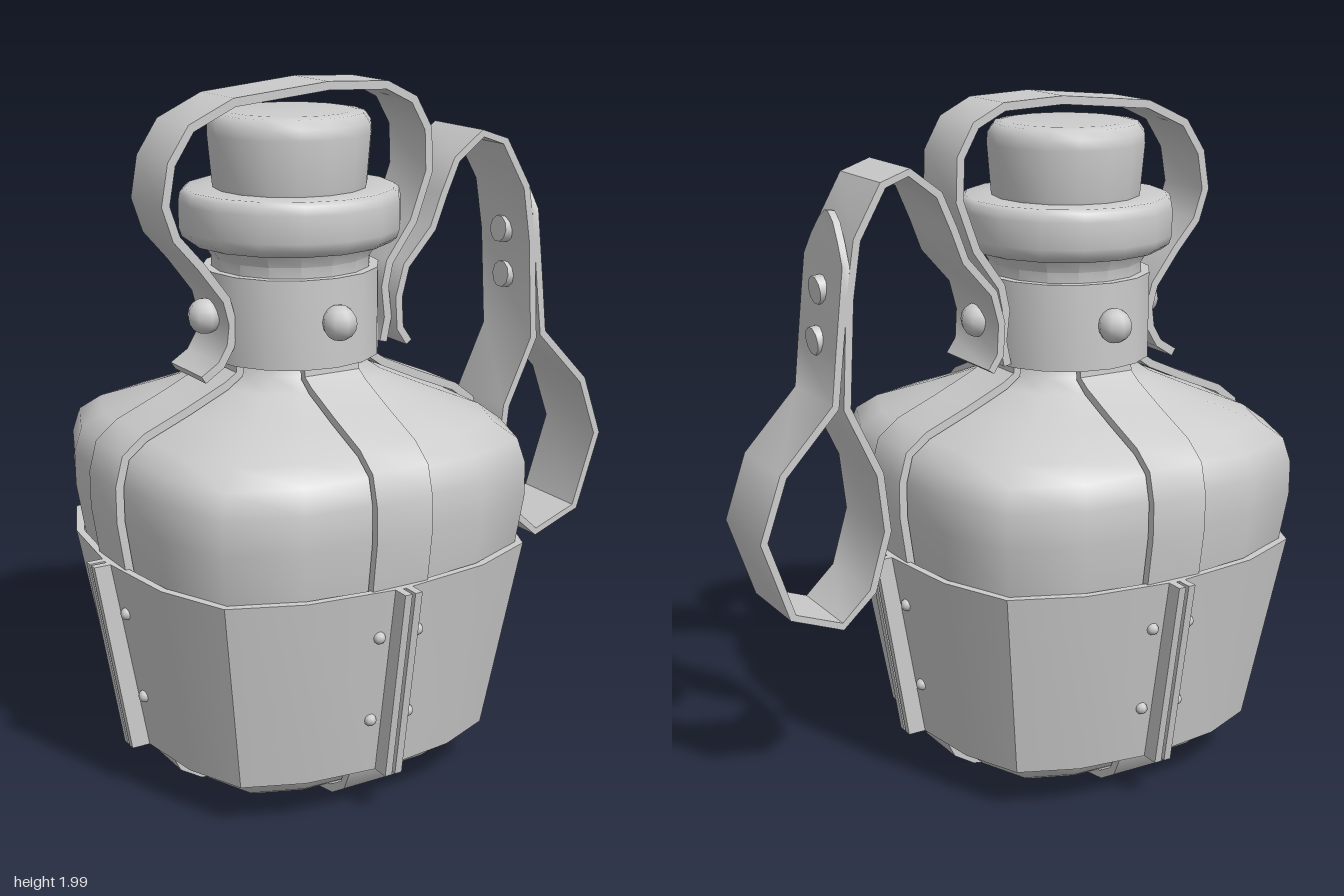
import * as THREE from 'three';
import { toCreasedNormals } from 'three/addons/utils/BufferGeometryUtils.js';

const material = new THREE.MeshStandardMaterial({ color: 0xcccccc });

function add(parent, name, geometry) {
  const mesh = new THREE.Mesh(geometry, material);
  mesh.name = name;
  parent.add(mesh);
  return mesh;
}

// Skin a list of rings, each a loop of [x, y, z] with the same count
function loft(rings, caps = true, crease = 0.6) {
  const n = rings[0].length, last = (rings.length - 1) * n, index = [];
  for (let i = 0; i < rings.length - 1; i++) {
    for (let j = 0; j < n; j++) {
      const a = i * n + j, b = i * n + (j + 1) % n;
      index.push(a, a + n, b + n, a, b + n, b);
    }
  }
  if (caps) {
    for (let j = 1; j < n - 1; j++) {
      index.push(0, j, j + 1, last, last + j + 1, last + j);
    }
  }
  const geometry = new THREE.BufferGeometry();
  geometry.setAttribute('position', new THREE.Float32BufferAttribute(rings.flat(2), 3));
  geometry.setIndex(index);
  geometry.computeVertexNormals();
  return toCreasedNormals(geometry, crease);
}

// Flat band along an xy path; each point is [x, y, optional half width in z]
function band(path, halfWidth, thickness) {
  const rings = path.map((p, i) => {
    const a = path[Math.max(i - 1, 0)], b = path[Math.min(i + 1, path.length - 1)];
    const d = new THREE.Vector2(b[0] - a[0], b[1] - a[1]).normalize();
    const nx = d.y * thickness / 2, ny = -d.x * thickness / 2, w = p[2] ?? halfWidth;
    return [[1, -1], [1, 1], [-1, 1], [-1, -1]].map(([s, t]) => [p[0] + s * nx, p[1] + s * ny, t * w]);
  });
  return loft(rings, true, 0.7);
}

// Sixteen-sided rounded square that blends to a circle as square goes to 0
function section(y, half, square, quarter) {
  const ring = [];
  for (let k = 0; k < 4; k++) {
    const c = Math.round(Math.cos(k * Math.PI / 2)), s = Math.round(Math.sin(k * Math.PI / 2));
    quarter.forEach(([u, v], j) => {
      const t = j * Math.PI / 8;
      const x = half * (u * square + Math.cos(t) * (1 - square));
      const z = half * (v * square + Math.sin(t) * (1 - square));
      ring.push([x * c - z * s, y, x * s + z * c]);
    });
  }
  return ring;
}

const lathe = (points, crease = 0.6) =>
  toCreasedNormals(new THREE.LatheGeometry(points.map(p => new THREE.Vector2(...p)), 16), crease);

export function createModel() {
  const model = new THREE.Group();
  const flask = new THREE.Group();
  flask.name = 'flask';
  flask.position.x = -0.2;
  model.add(flask);

  // Rounded square body: [y, half width, squareness]
  const bodyQuarter = [[1, 0], [0.975, 0.487], [0.835, 0.835], [0.487, 0.975]];
  const bodyProfile = [
    [0.03, 0.26, 1], [0.045, 0.35, 1], [0.08, 0.405, 1], [0.14, 0.44, 1], [0.4, 0.505, 1],
    [0.71, 0.555, 1], [0.85, 0.575, 1], [0.95, 0.575, 1], [1.02, 0.555, 1], [1.065, 0.5, 0.95],
    [1.12, 0.37, 0.7], [1.175, 0.25, 0.25], [1.21, 0.205, 0], [1.28, 0.2, 0],
  ];
  add(flask, 'body', loft(bodyProfile.map(p => section(p[0], p[1], p[2], bodyQuarter)), true, 1.2));

  // Neck, collar, rim and stopper
  add(flask, 'collar', lathe([[0.19, 1.24], [0.25, 1.24], [0.25, 1.49], [0.22, 1.49]]));
  add(flask, 'neck', lathe([[0.225, 1.47], [0.225, 1.52], [0.25, 1.56]]));
  add(flask, 'rim', lathe([[0.2, 1.56], [0.285, 1.56], [0.305, 1.575], [0.313, 1.6],
    [0.313, 1.675], [0.308, 1.7], [0.295, 1.71], [0.2, 1.71]], 0.9));
  add(flask, 'stopper', lathe([[0.213, 1.7], [0.218, 1.72], [0.23, 1.86], [0.228, 1.89],
    [0.21, 1.915], [0.18, 1.92], [0, 1.92]], 0.9));

  // Open-ended holder around the lower body
  const holderQuarter = [[1, 0], [0.942, 0.467], [0.8, 0.8], [0.467, 0.942]];
  const holderRing = (y, half) => section(y, half, 1, holderQuarter);
  add(flask, 'holder', loft([
    holderRing(0.14, 0.5), holderRing(0.71, 0.6), holderRing(0.71, 0.578),
    holderRing(0.14, 0.478), holderRing(0.14, 0.5),
  ], false));

  // Straps, seam flanges and rivets repeat on the four sides
  const strapPath = [
    [0, 0.017], [0.26, 0.02], [0.36, 0.036], [0.42, 0.073], [0.453, 0.14], [0.517, 0.4],
    [0.567, 0.71], [0.587, 0.85], [0.587, 0.95], [0.566, 1.03], [0.506, 1.077],
    [0.375, 1.132], [0.255, 1.187], [0.215, 1.215], [0.21, 1.27],
  ];
  const flangeRing = (y, r, t) =>
    [[r + 0.06, y, t - 0.011], [r + 0.06, y, t + 0.011], [r, y, t + 0.011], [r, y, t - 0.011]];
  for (let k = 0; k < 4; k++) {
    const side = new THREE.Group();
    side.name = 'side' + (k + 1);
    side.rotation.y = k * Math.PI / 2;
    flask.add(side);
    add(side, 'bodyStrap', band(strapPath, 0.087, 0.024));
    for (const s of [-1, 1]) {
      add(side, 'seamFlange', loft([flangeRing(0.14, 0.49, s * 0.016), flangeRing(0.71, 0.585, s * 0.016)]));
      for (const y of [0.31, 0.57]) {
        const rivet = add(side, 'holderRivet', new THREE.SphereGeometry(0.018, 8, 6));
        rivet.position.set(0.493 + 0.1 * (y - 0.14) / 0.57, y, s * 0.06);
      }
    }
    const stud = add(side, 'collarStud', new THREE.SphereGeometry(0.05, 8, 8));
    stud.position.set([0.295, 0.265, 0.275, 0.265][k], 1.37, 0);
  }

  // Carrying handle over the stopper
  add(model, 'handle', band([
    [-0.53, 1.215], [-0.475, 1.25], [-0.445, 1.3], [-0.437, 1.36], [-0.455, 1.43], [-0.53, 1.53],
    [-0.6, 1.61], [-0.63, 1.7], [-0.61, 1.81], [-0.55, 1.9], [-0.42, 1.96], [-0.13, 1.988],
    [0.06, 1.98], [0.15, 1.935], [0.198, 1.85], [0.202, 1.73], [0.15, 1.59], [0.07, 1.48],
    [0.055, 1.41], [0.065, 1.32], [0.05, 1.25],
  ], 0.095, 0.024));

  // Hanging strap folded into a loop, ending in a pointed tip
  add(model, 'hangingStrap', band([
    [0.12, 1.245], [0.09, 1.29], [0.085, 1.38], [0.11, 1.47], [0.2, 1.57], [0.235, 1.66],
    [0.28, 1.76], [0.37, 1.828], [0.45, 1.8], [0.53, 1.66], [0.555, 1.5], [0.57, 1.2],
    [0.475, 1.0], [0.455, 0.83], [0.505, 0.66], [0.6, 0.573], [0.75, 0.63], [0.828, 0.86],
    [0.765, 1.04], [0.605, 1.21], [0.59, 1.35], [0.574, 1.5], [0.564, 1.59],
    [0.558, 1.65, 0.085], [0.552, 1.7, 0.045], [0.55, 1.725, 0.01],
  ], 0.122, 0.022));
  for (const [x, y] of [[0.572, 1.375], [0.56, 1.515]]) {
    const rivet = add(model, 'strapRivet', new THREE.CylinderGeometry(0.04, 0.04, 0.085, 10));
    rivet.rotation.z = Math.PI / 2 - 0.1;
    rivet.position.set(x, y, 0);
  }
  return model;
}
